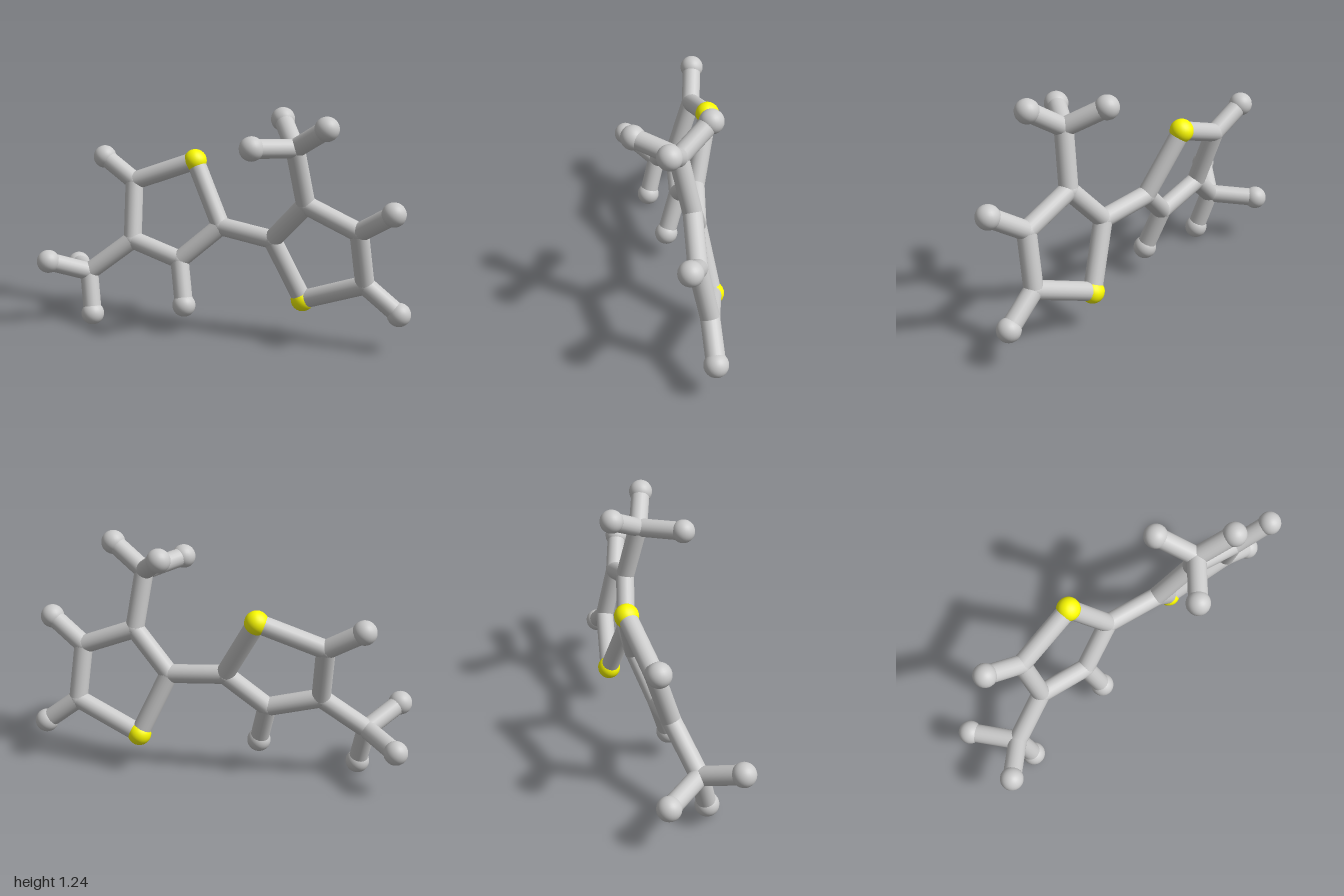
import * as THREE from 'three';

const STICK = 0.049, BALL = 0.062;

// Atom centres: element and position
const atoms = {
  // left ring
  sulfurA: ['S', -0.225, 0.9, -0.21],
  a2: ['C', -0.045, 0.575, -0.13],
  a3: ['C', -0.255, 0.385, -0.06],
  a4: ['C', -0.535, 0.465, -0.065],
  a5: ['C', -0.565, 0.77, -0.16],
  a3H: ['H', -0.2, 0.157, 0.01],
  a5H: ['H', -0.755, 0.885, -0.185],
  // left methyl
  aM: ['C', -0.765, 0.28, 0.015],
  aM1: ['H', -0.918, 0.368, 0.187],
  aM2: ['H', -0.938, 0.255, -0.183],
  aM3: ['H', -0.72, 0.063, 0.07],
  // right ring
  sulfurB: ['S', 0.405, 0.21, -0.17],
  b2: ['C', 0.255, 0.54, -0.105],
  b3: ['C', 0.45, 0.755, -0.06],
  b4: ['C', 0.735, 0.64, -0.055],
  b5: ['C', 0.757, 0.35, -0.115],
  b4H: ['H', 0.923, 0.764, 0],
  b5H: ['H', 0.937, 0.21, -0.125],
  // right methyl
  bM: ['C', 0.41, 1.055, 0.005],
  bM1: ['H', 0.255, 1.08, 0.21],
  bM2: ['H', 0.285, 1.167, -0.165],
  bM3: ['H', 0.592, 1.176, 0.065],
};

// Chains of bonded atoms
const chains = [
  ['sulfurA', 'a2', 'a3', 'a4', 'a5', 'sulfurA'],
  ['sulfurB', 'b2', 'b3', 'b4', 'b5', 'sulfurB'],
  ['a2', 'b2'], ['a3', 'a3H'], ['a5', 'a5H'], ['b4', 'b4H'], ['b5', 'b5H'],
  ['a4', 'aM', 'aM1'], ['aM2', 'aM', 'aM3'],
  ['b3', 'bM', 'bM1'], ['bM2', 'bM', 'bM3'],
];

export function createModel() {
  const model = new THREE.Group();
  model.name = 'stickMolecule';
  const grey = new THREE.MeshStandardMaterial({ color: 0xcccccc });
  const yellow = new THREE.MeshStandardMaterial({ color: 0xffff00 });
  const ball = new THREE.SphereGeometry(BALL, 24, 16);
  const joint = new THREE.SphereGeometry(STICK + 0.001, 24, 16);
  const names = { S: 'sulfurBall', C: 'carbonJoint', H: 'hydrogenBall' };
  const at = (key) => new THREE.Vector3(...atoms[key].slice(1));

  // Balls at the tips and sulfurs, flush joints at the carbons
  for (const key of Object.keys(atoms)) {
    const element = atoms[key][0];
    const mesh = new THREE.Mesh(element === 'C' ? joint : ball, element === 'S' ? yellow : grey);
    mesh.name = names[element];
    mesh.position.copy(at(key));
    model.add(mesh);
  }

  // Sticks between bonded atoms
  const up = new THREE.Vector3(0, 1, 0);
  for (const chain of chains) {
    for (let i = 1; i < chain.length; i++) {
      const a = at(chain[i - 1]), b = at(chain[i]);
      const dir = b.clone().sub(a);
      const stick = new THREE.Mesh(new THREE.CylinderGeometry(STICK, STICK, dir.length(), 20), grey);
      stick.name = 'bondStick';
      stick.position.copy(a).add(b).multiplyScalar(0.5);
      stick.quaternion.setFromUnitVectors(up, dir.normalize());
      model.add(stick);
    }
  }
  return model;
}
